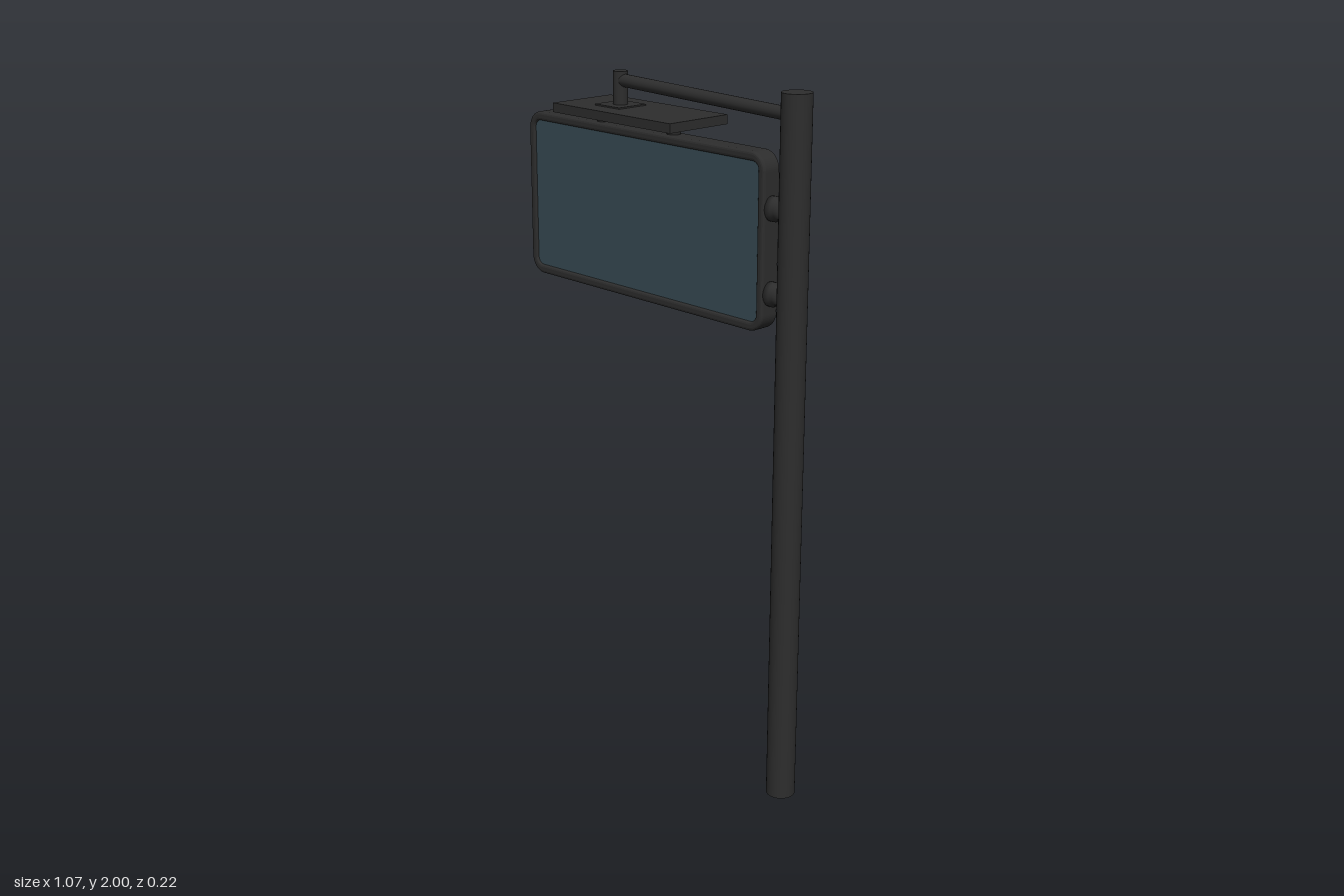
import * as THREE from 'three';

const frameMat = new THREE.MeshStandardMaterial({ color: 0x2d2d2d });
frameMat.name = 'dark metal';
const screenMat = new THREE.MeshStandardMaterial({ color: 0x384b54 });
screenMat.name = 'blue grey glass';

// Rounded rectangle outline centred on the origin
function roundedRect(target, w, h, r) {
  const x = w / 2, y = h / 2;
  target.moveTo(-x + r, -y);
  target.lineTo(x - r, -y);
  target.absarc(x - r, -y + r, r, -Math.PI / 2, 0);
  target.lineTo(x, y - r);
  target.absarc(x - r, y - r, r, 0, Math.PI / 2);
  target.lineTo(-x + r, y);
  target.absarc(-x + r, y - r, r, Math.PI / 2, Math.PI);
  target.lineTo(-x, -y + r);
  target.absarc(-x + r, -y + r, r, Math.PI, Math.PI * 1.5);
  return target;
}

export function createModel() {
  const model = new THREE.Group();
  model.name = 'hangingSign';

  function add(name, geometry, x, y, z, material = frameMat, parent = model) {
    const mesh = new THREE.Mesh(geometry, material);
    mesh.name = name;
    mesh.position.set(x, y, z);
    parent.add(mesh);
    return mesh;
  }

  // Tall round pole
  add('pole', new THREE.CylinderGeometry(0.041, 0.041, 2, 32), 0.493, 1, 0);

  // Rounded frame, open in the middle, with a softly bevelled rim
  const sign = new THREE.Group();
  sign.name = 'signPanel';
  sign.position.set(-0.061, 1.596, 0);
  model.add(sign);
  const bevel = 0.008;
  const outline = roundedRect(new THREE.Shape(), 0.948 - 2 * bevel, 0.482 - 2 * bevel, 0.042);
  outline.holes.push(roundedRect(new THREE.Path(), 0.9 + 2 * bevel, 0.43 + 2 * bevel, 0.03));
  const frame = new THREE.ExtrudeGeometry(outline, {
    depth: 0.046, bevelEnabled: true, bevelSize: bevel, bevelThickness: bevel,
    bevelSegments: 3, curveSegments: 8,
  });
  frame.translate(0, 0, -0.023);
  add('frame', frame, 0, 0, 0, frameMat, sign);

  // Glass on both faces, set just inside the rim
  for (const side of [1, -1]) {
    const glass = new THREE.ShapeGeometry(roundedRect(new THREE.Shape(), 0.912, 0.442, 0.03));
    const mesh = add(side > 0 ? 'frontScreen' : 'backScreen', glass, 0, 0, side * 0.024, screenMat, sign);
    if (side < 0) mesh.rotation.y = Math.PI;
  }

  // Side brackets joining the panel to the pole
  const bracketProfile = [[0, -0.024], [0.026, -0.024], [0.026, -0.002], [0.034, 0.004], [0.034, 0.028], [0, 0.028]]
    .map(([r, y]) => new THREE.Vector2(r, y));
  for (const y of [1.69, 1.461]) {
    const bracket = add('sideBracket', new THREE.LatheGeometry(bracketProfile, 20), 0.434, y, 0);
    bracket.rotation.z = Math.PI / 2;
    bracket.scale.z = 0.8;
  }

  // Flat canopy plate and the feet that carry it
  add('canopy', new THREE.BoxGeometry(0.476, 0.026, 0.216), -0.095, 1.876, 0);
  for (const x of [-0.24, 0.045]) {
    add('canopyFoot', new THREE.CylinderGeometry(0.025, 0.018, 0.036, 16), x, 1.849, 0);
  }

  // Mount plate, short post and sloping support arm
  add('mountPlate', new THREE.BoxGeometry(0.1, 0.008, 0.1), -0.17, 1.889, 0);
  add('hangerPost', new THREE.CylinderGeometry(0.021, 0.021, 0.1, 20), -0.169, 1.935, 0);
  const start = new THREE.Vector3(-0.169, 1.96, 0);
  const end = new THREE.Vector3(0.475, 1.941, 0);
  add('supportArm', new THREE.TubeGeometry(new THREE.LineCurve3(start, end), 1, 0.018, 16), 0, 0, 0);

  return model;
}
